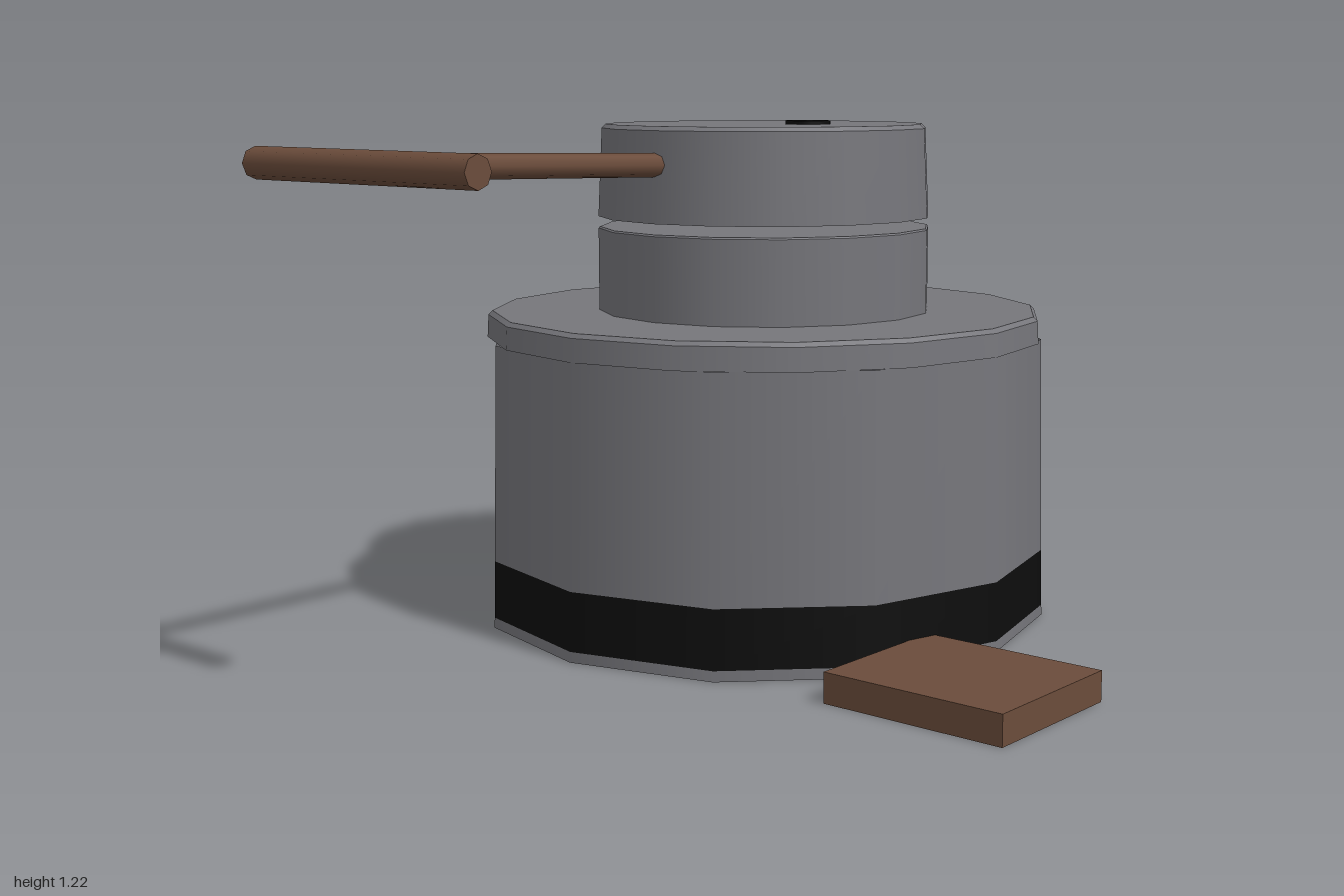
import * as THREE from 'three';

export function createModel() {
  const model = new THREE.Group();
  const mat = (name, color, side = THREE.FrontSide) => {
    const m = new THREE.MeshStandardMaterial({ color, side });
    m.name = name;
    return m;
  };
  const stone = mat('grey stone', 0x76767b, THREE.DoubleSide);
  const black = mat('black band', 0x0d0d0d, THREE.DoubleSide);
  const wood = mat('brown wood', 0x6b4c3b, THREE.DoubleSide);

  const CX = -0.19, CZ = -0.3; // axis of the round body

  function add(name, geometry, material, x, y, z, parent = model) {
    const mesh = new THREE.Mesh(geometry, material);
    mesh.name = name;
    mesh.position.set(x, y, z);
    parent.add(mesh);
    return mesh;
  }

  // Open tapered wall between two heights
  function wall(name, y0, r0, y1, r1, sides, material, parent) {
    const g = new THREE.CylinderGeometry(r1, r0, y1 - y0, sides, 1, true);
    return add(name, g, material, CX, (y0 + y1) / 2, CZ, parent);
  }

  // Closed drum with a small chamfer around its top edge
  function drum(name, y0, r0, y1, r1, sides, chamfer = 0.01) {
    const group = new THREE.Group();
    group.name = name;
    model.add(group);
    wall(name + 'Side', y0, r0, y1 - chamfer, r1, sides, stone, group);
    wall(name + 'Chamfer', y1 - chamfer, r1, y1, r1 - chamfer, sides, stone, group);
    const disc = (part, r, y, turn) => {
      const g = new THREE.CircleGeometry(r, sides).rotateX(turn);
      add(name + part, g, stone, CX, y, CZ, group);
    };
    disc('Top', r1 - chamfer, y1, -Math.PI / 2);
    disc('Underside', r0, y0, Math.PI / 2);
  }

  // Hollow twelve-sided base shell with a black band near the ground
  const shell = [[0, 0.7], [0.025, 0.699], [0.165, 0.696], [0.69, 0.684]];
  [['baseRim', stone], ['baseBand', black], ['baseWall', stone]].forEach(([name, m], i) => {
    wall(name, shell[i][0], shell[i][1], shell[i + 1][0], shell[i + 1][1], 12, m);
  });

  // Sixteen-sided lid of the base and the two stacked stones
  drum('baseLid', 0.69, 0.686, 0.755, 0.683, 16);
  drum('lowerStone', 0.755, 0.41, 0.96, 0.41, 16, 0.004);
  drum('upperStone', 0.985, 0.41, 1.21, 0.4, 16);

  // Filling hole on the upper stone
  add('fillingHole', new THREE.CylinderGeometry(0.055, 0.055, 0.009, 16), black, -0.055, 1.2145, CZ);

  // T-shaped handle: a slightly rising rod with a crossbar
  const from = new THREE.Vector3(CX, 1.12, 0.06);
  const to = new THREE.Vector3(CX, 1.145, 0.965);
  const mid = from.clone().add(to).multiplyScalar(0.5);
  const rod = add('handleRod', new THREE.CylinderGeometry(0.028, 0.028, from.distanceTo(to), 8),
    wood, mid.x, mid.y, mid.z);
  rod.quaternion.setFromUnitVectors(new THREE.Vector3(0, 1, 0), to.clone().sub(from).normalize());
  add('handleCrossbar', new THREE.CylinderGeometry(0.035, 0.035, 0.68, 8).rotateZ(Math.PI / 2),
    wood, CX, 1.145, 0.965);

  // Upturned wooden tray, open underneath
  const tray = new THREE.BoxGeometry(0.45, 0.07, 0.39);
  const index = Array.from(tray.index.array);
  index.splice(18, 6); // drop the bottom face
  tray.setIndex(index);
  tray.clearGroups();
  add('tray', tray, wood, 0.665, 0.035, 0.075);

  return model;
}
